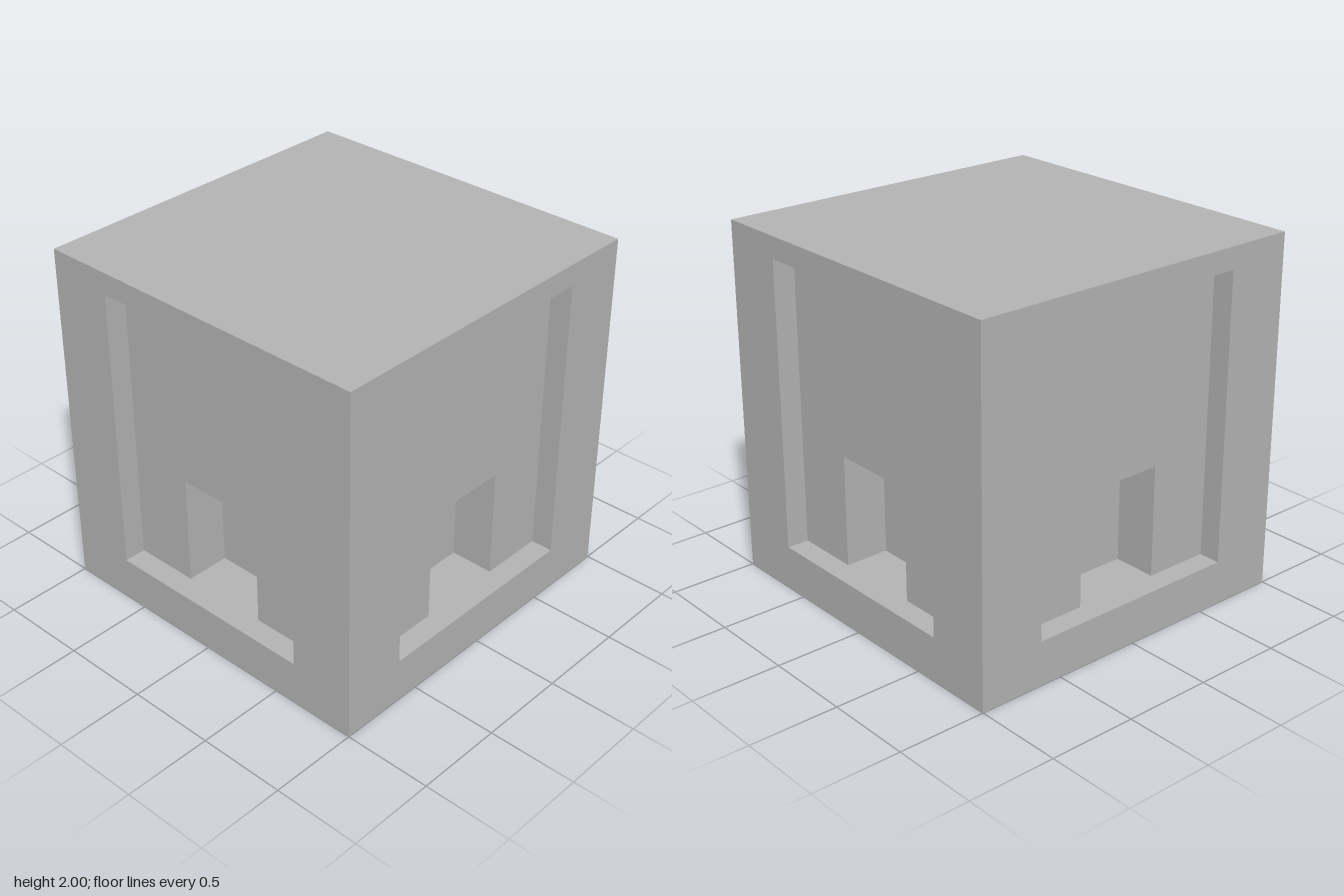
import * as THREE from 'three';

// corners of a rectangle, counter-clockwise seen from outside
const rect = (hw, y0, y1) => [[-hw, y0], [hw, y0], [hw, y1], [-hw, y1]].map(([x, y]) => new THREE.Vector2(x, y));

const OUTER = rect(1, 0, 2);
const RECESS = rect(0.627, 0.25, 1.877);
const DOOR = rect(0.253, 0.25, 0.877);
const FACE_Z = 1, RECESS_Z = 0.875, DOOR_Z = 0.625;

// flat face at depth z
function panel(points, z, hole) {
  const shape = new THREE.Shape(points);
  if (hole) shape.holes.push(new THREE.Path(hole));
  return new THREE.ShapeGeometry(shape).translate(0, 0, z);
}

// inward-facing walls around an opening, from depth z0 back to z1
function reveal(points, z0, z1) {
  const pos = [];
  points.forEach((a, i) => {
    const b = points[(i + 1) % points.length];
    pos.push(a.x, a.y, z0, b.x, b.y, z0, b.x, b.y, z1);
    pos.push(a.x, a.y, z0, b.x, b.y, z1, a.x, a.y, z1);
  });
  const geo = new THREE.BufferGeometry();
  geo.setAttribute('position', new THREE.Float32BufferAttribute(pos, 3));
  geo.computeVertexNormals();
  return geo;
}

export function createModel() {
  const model = new THREE.Group();
  model.name = 'recessedCube';
  const grey = new THREE.MeshStandardMaterial({ color: 0xb2b2b2 });
  grey.name = 'grey';

  const add = (parent, name, geo) => {
    const mesh = new THREE.Mesh(geo, grey);
    mesh.name = name;
    parent.add(mesh);
    return mesh;
  };

  // recess back wall, notched at the bottom for the doorway
  const [rBL, rBR, rTR, rTL] = RECESS;
  const [dBL, dBR, dTR, dTL] = DOOR;
  const notchedWall = [rBL, dBL, dTL, dTR, dBR, rBR, rTR, rTL];

  const parts = {
    frame: panel(OUTER, FACE_Z, RECESS),
    recessReveal: reveal(RECESS, FACE_Z, RECESS_Z),
    recessWall: panel(notchedWall, RECESS_Z),
    doorwayReveal: reveal(DOOR, RECESS_Z, DOOR_Z),
    doorwayBack: panel(DOOR, DOOR_Z),
  };

  // four identical sides
  ['front', 'left', 'back', 'right'].forEach((side, i) => {
    const group = new THREE.Group();
    group.name = side + 'Side';
    group.rotation.y = i * Math.PI / 2;
    for (const [name, geo] of Object.entries(parts)) add(group, name, geo);
    model.add(group);
  });

  // roof and base
  const roof = add(model, 'roof', new THREE.PlaneGeometry(2, 2));
  roof.rotation.x = -Math.PI / 2;
  roof.position.y = 2;
  const base = add(model, 'base', new THREE.PlaneGeometry(2, 2));
  base.rotation.x = Math.PI / 2;

  return model;
}
